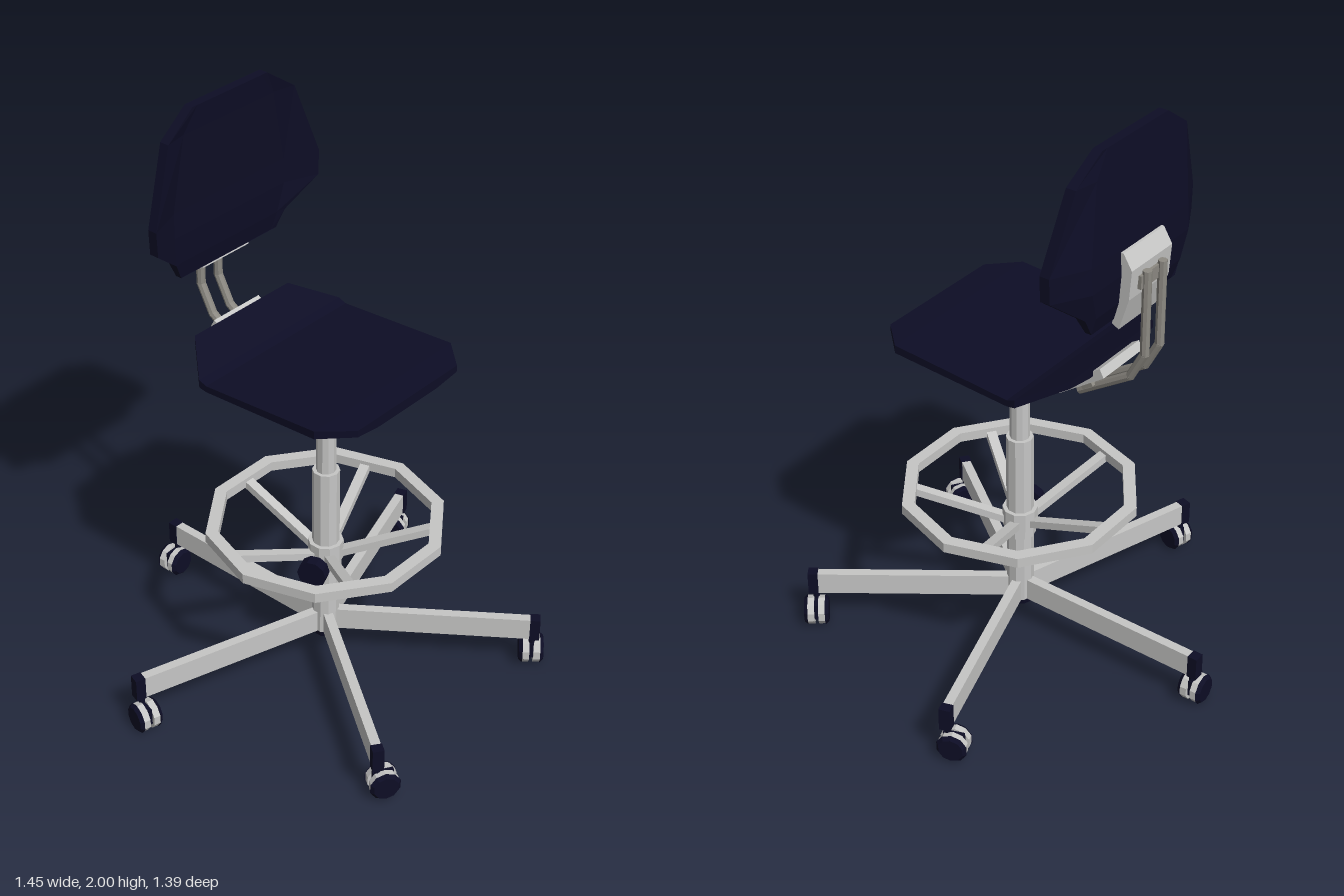
import * as THREE from 'three';

const navy = new THREE.MeshStandardMaterial({ color: 0x0d0d25 });
navy.name = 'navy';
const lightGrey = new THREE.MeshStandardMaterial({ color: 0xc6c6c5 });
lightGrey.name = 'light grey';
const rodGrey = new THREE.MeshStandardMaterial({ color: 0x8c8982 });
rodGrey.name = 'rod grey';

const CX = 0.003, CZ = 0.055; // column axis

// Faceted mesh
function part(parent, name, geometry, material, x = 0, y = 0, z = 0) {
  const g = geometry.index ? geometry.toNonIndexed() : geometry;
  g.computeVertexNormals();
  const mesh = new THREE.Mesh(g, material);
  mesh.name = name;
  mesh.position.set(x, y, z);
  parent.add(mesh);
  return mesh;
}

const box = (w, h, d) => new THREE.BoxGeometry(w, h, d);
const cyl = (r1, r2, h, n) => new THREE.CylinderGeometry(r1, r2, h, n);

// Closed skin through equal-sized rings of points
function loft(rings) {
  const n = rings[0].length, last = (rings.length - 1) * n, index = [];
  for (let i = 0; i < last; i += n) {
    for (let j = 0; j < n; j++) {
      const k = (j + 1) % n;
      index.push(i + j, i + n + j, i + k, i + k, i + n + j, i + n + k);
    }
  }
  for (let j = 1; j < n - 1; j++) index.push(0, j, j + 1, last, last + j + 1, last + j);
  const g = new THREE.BufferGeometry();
  g.setAttribute('position', new THREE.Float32BufferAttribute(rings.flat(2), 3));
  g.setIndex(index);
  return g;
}

// Side profile of [z, y] points, extruded across x
function sideExtrude(points, width) {
  const shape = new THREE.Shape(points.map(([z, y]) => new THREE.Vector2(-z, y)));
  const g = new THREE.ExtrudeGeometry(shape, { depth: width, bevelEnabled: false });
  return g.translate(0, 0, -width / 2).rotateY(Math.PI / 2);
}

// Bar between two points, slightly lengthened to close the joints
function bar(parent, name, geometryFor, material, a, b, extra = 0.004) {
  const dir = b.clone().sub(a), length = dir.length();
  const mid = a.clone().add(b).multiplyScalar(0.5);
  const mesh = part(parent, name, geometryFor(length + extra * 2), material, mid.x, mid.y, mid.z);
  mesh.quaternion.setFromUnitVectors(new THREE.Vector3(0, 1, 0), dir.normalize());
  return mesh;
}

// Twin-wheel castor with its axle along z
function castor() {
  const g = new THREE.Group();
  g.name = 'castor';
  for (const s of [-1, 1]) {
    part(g, 'wheel', cyl(0.05, 0.05, 0.026, 10).rotateX(Math.PI / 2), lightGrey, 0, 0, s * 0.02);
    const cover = cyl(0.042, 0.053, 0.012, 10).rotateX(s * Math.PI / 2);
    part(g, 'wheelCover', cover, navy, 0, 0, s * 0.036);
  }
  part(g, 'castorFork', box(0.07, 0.06, 0.014), navy, 0, 0.012, 0);
  part(g, 'castorStem', cyl(0.011, 0.011, 0.05, 8), navy, 0.02, 0.055, 0);
  return g;
}

function createBase() {
  const base = new THREE.Group();
  base.name = 'base';
  for (let i = 0; i < 5; i++) {
    const leg = new THREE.Group();
    leg.name = 'leg';
    part(leg, 'legBeam', box(0.032, 0.08, 0.7), lightGrey, 0, 0.16, -0.35);
    part(leg, 'legCap', box(0.038, 0.084, 0.034), navy, 0, 0.16, -0.714);
    const c = castor();
    c.position.set(-0.022, 0.053, -0.706);
    c.rotation.y = 0.05;
    leg.add(c);
    leg.rotation.y = -i * Math.PI * 0.4;
    base.add(leg);
  }
  part(base, 'hubCap', cyl(0.046, 0.042, 0.022, 10), navy, 0, 0.111, 0);
  part(base, 'outerColumn', cyl(0.046, 0.046, 0.655, 10), lightGrey, 0, 0.448, 0);
  part(base, 'gasLift', cyl(0.033, 0.033, 0.36, 10), lightGrey, 0, 0.93, 0);
  return base;
}

function createFootrest() {
  const g = new THREE.Group();
  g.name = 'footrest';
  const profile = [[0.362, 0.545], [0.405, 0.545], [0.405, 0.58], [0.362, 0.58], [0.362, 0.545]];
  const ring = new THREE.LatheGeometry(profile.map(p => new THREE.Vector2(...p)), 10, Math.PI / 2);
  part(g, 'footRing', ring, lightGrey);
  part(g, 'collar', cyl(0.06, 0.06, 0.07, 10), lightGrey, 0, 0.455, 0);
  part(g, 'lowerCollar', cyl(0.053, 0.053, 0.035, 10), lightGrey, 0, 0.403, 0);
  for (let i = 0; i < 5; i++) {
    const spoke = new THREE.Group();
    spoke.name = 'spoke';
    bar(spoke, 'spokeBar', l => box(0.034, l, 0.026), lightGrey,
      new THREE.Vector3(0, 0.44, -0.04), new THREE.Vector3(0, 0.56, -0.365));
    spoke.rotation.y = -i * Math.PI * 0.4;
    g.add(spoke);
  }
  // Clamp knob
  const knob = new THREE.Group();
  knob.name = 'knob';
  part(knob, 'knobShaft', cyl(0.012, 0.012, 0.1, 8).rotateZ(Math.PI / 2), navy, -0.05, 0, 0);
  part(knob, 'knobHandle', cyl(0.05, 0.05, 0.04, 10).rotateZ(Math.PI / 2), navy, -0.118, 0, 0);
  knob.position.y = 0.437;
  knob.rotation.y = 0.36;
  g.add(knob);
  return g;
}

function createSeat() {
  const g = new THREE.Group();
  g.name = 'seat';
  // z, half width, top, lower side edge, underside
  const rows = [
    [0.385, 0.24, 1.198, 1.175, 1.163],
    [0.29, 0.33, 1.2, 1.172, 1.155],
    [-0.15, 0.333, 1.172, 1.15, 1.13],
    [-0.18, 0.333, 1.183, 1.155, 1.132],
    [-0.305, 0.22, 1.24, 1.215, 1.2],
  ];
  part(g, 'seatCushion', loft(rows.map(([z, w, t, e, b]) => [
    [-w + 0.1, b, z], [w - 0.1, b, z], [w, e, z], [w, t, z], [-w, t, z], [-w, e, z],
  ])), navy, CX);
  part(g, 'seatPlate', sideExtrude([
    [0.27, 1.115], [-0.18, 1.09], [-0.345, 1.207], [-0.33, 1.235], [-0.175, 1.135], [0.27, 1.158],
  ], 0.21), lightGrey, CX);
  return g;
}

function createBackrest() {
  const g = new THREE.Group();
  g.name = 'backrest';
  // y, flat half width, outer half width, front, back, outer front
  const rows = [
    [2.0, 0.14, 0.165, -0.335, -0.365, -0.333],
    [1.92, 0.2, 0.28, -0.34, -0.372, -0.324],
    [1.67, 0.25, 0.37, -0.345, -0.395, -0.3],
    [1.585, 0.25, 0.367, -0.345, -0.4, -0.3],
    [1.49, 0.22, 0.25, -0.348, -0.393, -0.342],
    [1.43, 0.2, 0.22, -0.357, -0.377, -0.355],
  ];
  part(g, 'backCushion', loft(rows.map(([y, i, o, f, b, e]) => {
    const r = Math.max(e - 0.034, b);
    return [[-o, y, e], [-i, y, f], [i, y, f], [o, y, e], [o, y, r], [i, y, b], [-i, y, b], [-o, y, r]];
  })), navy, CX);
  part(g, 'backBracket', sideExtrude([
    [-0.37, 1.412], [-0.39, 1.5], [-0.39, 1.66], [-0.405, 1.66], [-0.436, 1.61], [-0.428, 1.51], [-0.395, 1.4],
  ], 0.21), lightGrey, CX);

  // Bent support rods and their clamps
  const path = [[1.585, -0.447], [1.3, -0.447], [1.205, -0.398], [1.085, -0.215]];
  for (const s of [-1, 1]) {
    const pts = path.map(([y, z]) => new THREE.Vector3(CX + s * 0.04, y, z));
    for (let i = 0; i < pts.length - 1; i++) {
      bar(g, 'supportRod', l => cyl(0.015, 0.015, l, 8), rodGrey, pts[i], pts[i + 1]);
    }
  }
  part(g, 'upperClamp', box(0.13, 0.045, 0.014), rodGrey, CX, 1.555, -0.436);
  const lower = part(g, 'lowerClamp', box(0.13, 0.014, 0.045), rodGrey, CX, 1.125, -0.255);
  lower.rotation.x = 0.6;
  return g;
}

export function createModel() {
  const chair = new THREE.Group();
  chair.name = 'swivelChair';
  for (const g of [createBase(), createFootrest()]) {
    g.position.set(CX, 0, CZ);
    chair.add(g);
  }
  chair.add(createSeat(), createBackrest());
  return chair;
}
